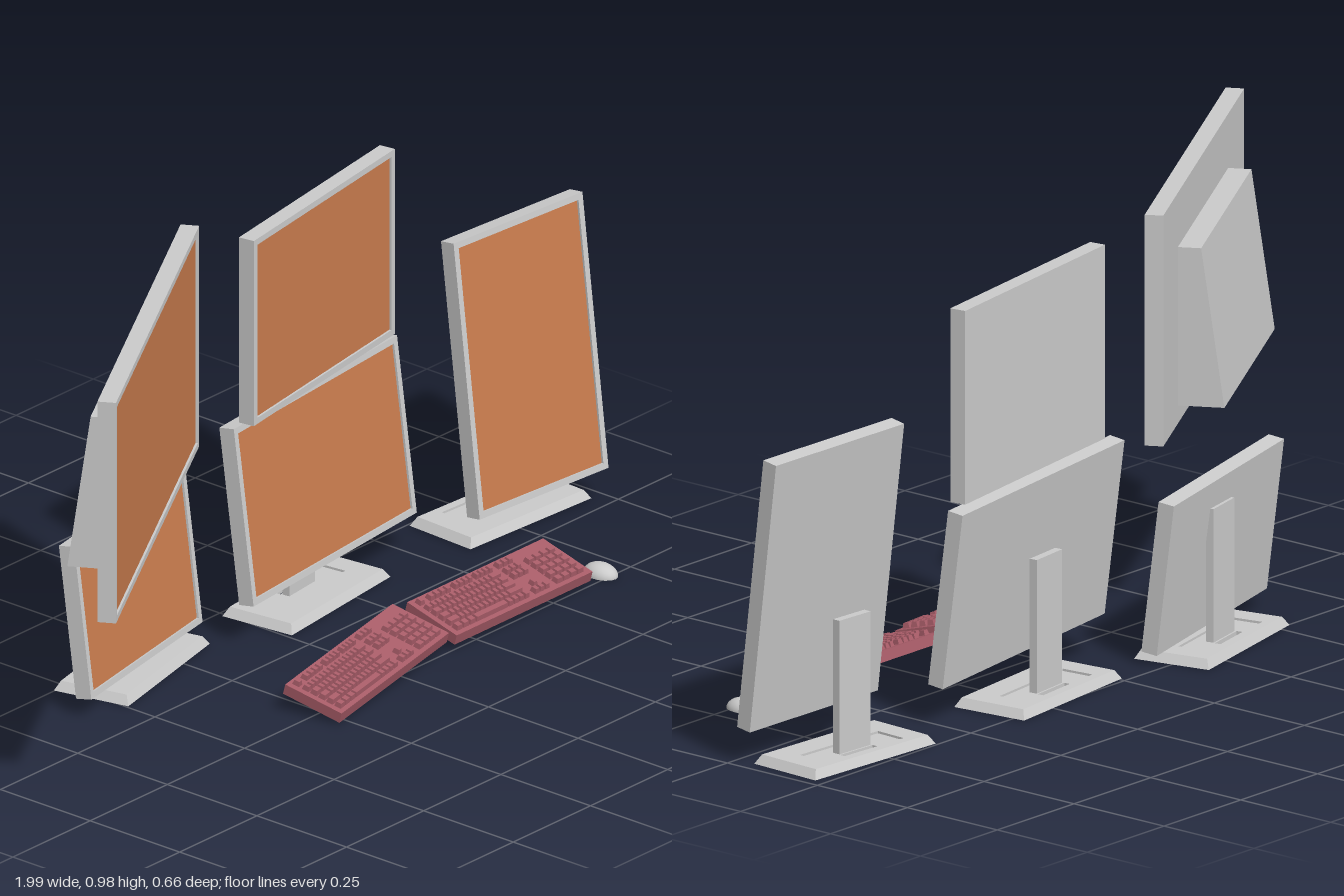
import * as THREE from 'three';
import { mergeGeometries } from 'three/addons/utils/BufferGeometryUtils.js';

const grey = new THREE.MeshStandardMaterial({ color: 0xcccccc });
const screenMat = new THREE.MeshStandardMaterial({ color: 0xc97c4e });
const keyMat = new THREE.MeshStandardMaterial({ color: 0xa85c68 });
const rad = THREE.MathUtils.degToRad;

function part(name, geometry, material, x = 0, y = 0, z = 0) {
  const m = new THREE.Mesh(geometry, material);
  m.name = name;
  m.position.set(x, y, z);
  return m;
}

function group(name, pos, rot, ...children) {
  const g = new THREE.Group();
  g.name = name;
  g.position.set(...pos);
  g.rotation.set(...rot.map(rad));
  g.add(...children);
  return g;
}

function rectPoints(w, h, y = 0) {
  return [[-1, -1], [1, -1], [1, 1], [-1, 1]].map(([a, b]) => new THREE.Vector2(a * w / 2, y + b * h / 2));
}

// Flat plate with a rectangular opening, extruded along z
function openPlate(w, h, depth, holeW, holeH, holeY = 0) {
  const shape = new THREE.Shape(rectPoints(w, h));
  shape.holes.push(new THREE.Path(rectPoints(holeW, holeH, holeY)));
  return new THREE.ExtrudeGeometry(shape, { depth, bevelEnabled: false });
}

// Display panel: shell, raised rim and recessed screen
function display(name, w, h, t, pos, rot) {
  const rim = 0.014, lip = 0.006;
  const front = t / 2 - lip;
  return group(name, pos, rot,
    part('shell', new THREE.BoxGeometry(w, h, t - lip), grey, 0, 0, -lip / 2),
    part('rim', openPlate(w, h, lip, w - 2 * rim, h - 2 * rim), grey, 0, 0, front),
    part('screen', new THREE.PlaneGeometry(w - 2 * rim, h - 2 * rim), screenMat, 0, 0, front + 0.001));
}

// Stand: tapered foot with a slotted inset plate and an upright post
function stand(name, x, z, yaw) {
  const w = 0.37, d = 0.178, height = 0.02;
  const foot = openPlate(w, d, height, 0.24, 0.075, 0.02);
  const p = foot.attributes.position;
  for (let i = 0; i < p.count; i++) {
    if (p.getZ(i) > height / 2 && Math.abs(p.getX(i)) > w / 2 - 0.001) {
      p.setX(i, p.getX(i) * 0.93);
      p.setY(i, p.getY(i) * 0.88);
    }
  }
  foot.computeVertexNormals();
  const inset = openPlate(0.24, 0.075, 0.01, 0.1, 0.014, 0.02);
  [foot, inset].forEach(g => g.rotateX(-Math.PI / 2));
  return group(name, [x, 0, z], [0, yaw, 0],
    part('foot', foot, grey),
    part('footInset', inset, grey, 0, 0.005, -0.02),
    part('post', new THREE.BoxGeometry(0.096, 0.3, 0.018), grey, 0, 0.16, -0.02));
}

// Keyboard: body plus rows of caps; each row is a list of [start, end, count]
function keyboard(name, pos, rot) {
  const w = 0.44, d = 0.143, t = 0.024;
  const nav = [0.265, 0.315, 3], pad = [0.335, 0.425, 4];
  const rows = [
    [[0.012, 0.03, 1], [0.045, 0.115, 4], [0.125, 0.185, 4], [0.193, 0.25, 4], nav],
    [[0.012, 0.216, 13], [0.216, 0.25, 1], nav, pad],
    [[0.012, 0.036, 1], [0.036, 0.225, 12], [0.225, 0.25, 1], nav, pad],
    [[0.012, 0.04, 1], [0.04, 0.213, 11], [0.213, 0.25, 1], pad],
    [[0.012, 0.048, 1], [0.048, 0.205, 10], [0.205, 0.25, 1], [0.282, 0.298, 1], pad],
    [[0.012, 0.075, 3], [0.075, 0.18, 1], [0.18, 0.25, 4], nav, pad],
  ];
  const caps = [];
  rows.forEach((row, r) => {
    const z = r === 0 ? -0.054 : -0.05 + r * 0.0205;
    for (const [a, b, n] of row) {
      const step = (b - a) / n;
      for (let i = 0; i < n; i++) {
        const cap = new THREE.BoxGeometry(step - 0.003, 0.011, 0.0165);
        // taper the tops of the caps
        const p = cap.attributes.position;
        for (let k = 0; k < p.count; k++) {
          if (p.getY(k) > 0) p.setXYZ(k, p.getX(k) - Math.sign(p.getX(k)) * 0.002, p.getY(k), p.getZ(k) * 0.75);
        }
        cap.computeVertexNormals();
        cap.translate(a + step * (i + 0.5) - w / 2, t / 2 + 0.0055, z);
        caps.push(cap);
      }
    }
  });
  return group(name, pos, rot,
    part('keyboardBody', new THREE.BoxGeometry(w, t, d), keyMat),
    part('keys', mergeGeometries(caps), keyMat));
}

// Wedge-shaped housing, deeper at the bottom, on the back of the wide display
function rearHousing() {
  const side = new THREE.Shape([[0, -0.215], [0.1, -0.215], [0.05, 0.135], [0, 0.135]]
    .map(([x, y]) => new THREE.Vector2(x, y)));
  const g = new THREE.ExtrudeGeometry(side, { depth: 0.585, bevelEnabled: false });
  g.translate(0, 0, -0.2925);
  g.rotateY(Math.PI / 2);
  return part('rearHousing', g, grey, 0.008, 0, -0.02);
}

function mouse() {
  const dome = new THREE.SphereGeometry(1, 16, 8, 0, Math.PI * 2, 0, Math.PI / 2);
  const base = new THREE.CircleGeometry(1, 16).rotateX(Math.PI / 2);
  const g = mergeGeometries([dome, base]).scale(0.03, 0.026, 0.042);
  return part('mouse', g, grey, 0.68, 0, 0.227);
}

export function createModel() {
  const model = new THREE.Group();
  model.name = 'workstation';

  const wide = display('wideDisplay', 0.941, 0.51, 0.04, [-0.582, 0.72, 0.052], [0, 30, 0]);
  wide.add(rearHousing());

  model.add(
    wide,
    display('upperDisplay', 0.566, 0.428, 0.037, [0.2125, 0.711, -0.1625], [0, 9, 0]),
    display('centerDisplay', 0.62, 0.398, 0.037, [0.205, 0.29, -0.1525], [-8, 7, 0]),
    display('rightDisplay', 0.5, 0.343, 0.037, [-0.358, 0.205, -0.19], [-8, 12.8, 0]),
    display('uprightDisplay', 0.395, 0.615, 0.037, [0.79, 0.382, -0.08], [-8, -2.7, -1.3]),
    stand('centerStand', 0.185, -0.168, 6.5),
    stand('rightStand', -0.335, -0.207, 13),
    stand('uprightStand', 0.787, -0.145, -3),
    keyboard('rightKeyboard', [-0.072, 0.044, 0.22], [15, 10, 0]),
    keyboard('leftKeyboard', [0.395, 0.044, 0.188], [15, 0, 0]),
    mouse());
  return model;
}
